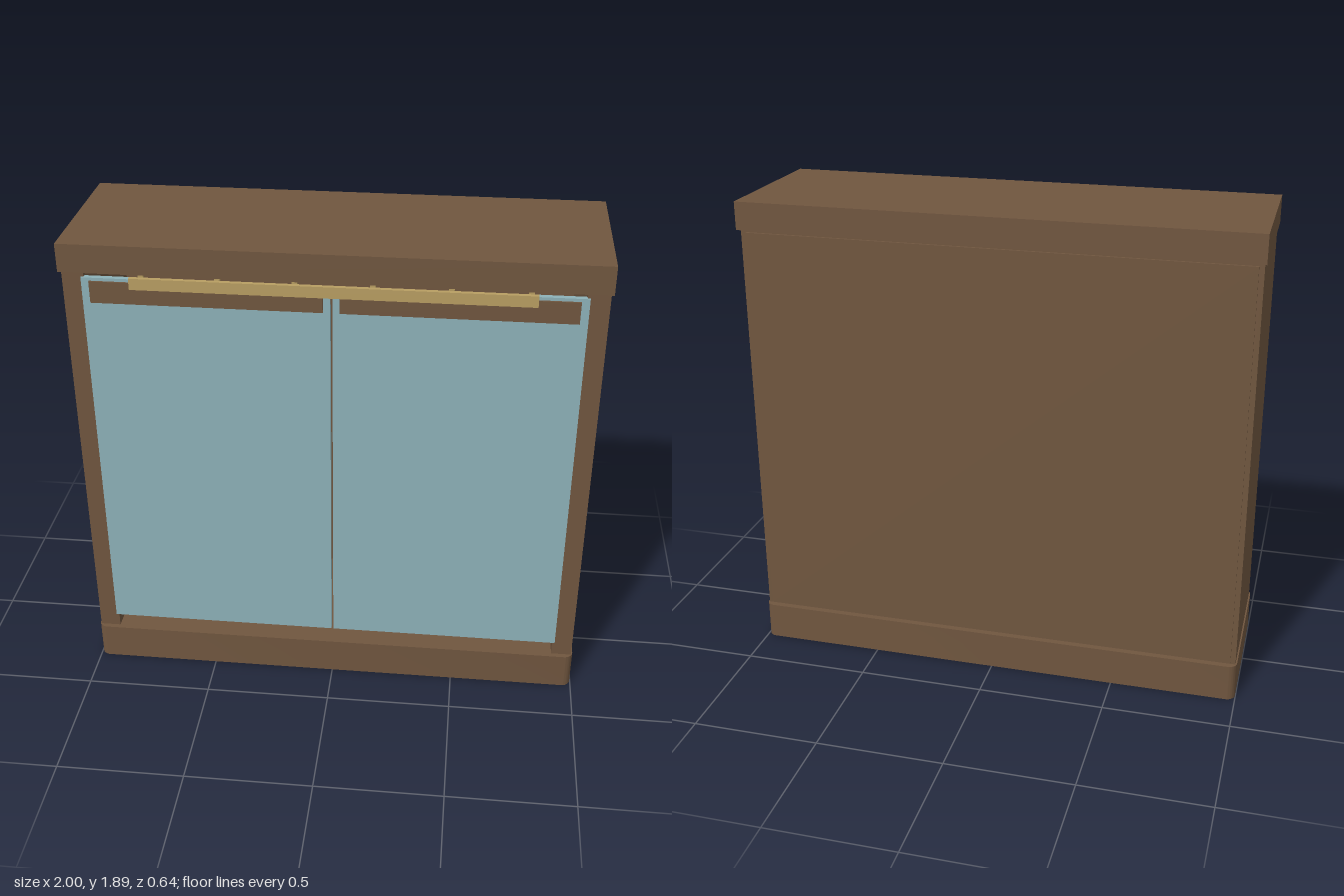
import * as THREE from 'three';
import { toCreasedNormals } from 'three/addons/utils/BufferGeometryUtils.js';

const wood = new THREE.MeshStandardMaterial({ color: 0x70563f });
wood.name = 'brown wood';
const paint = new THREE.MeshStandardMaterial({ color: 0x8db1b8 });
paint.name = 'pale blue door paint';
const brass = new THREE.MeshStandardMaterial({ color: 0xb89e62 });
brass.name = 'brass';

export function createModel() {
  const cabinet = new THREE.Group();
  cabinet.name = 'cabinet';

  // Box given by its limits on each axis
  function box(name, material, [x0, x1], [y0, y1], [z0, z1]) {
    const mesh = new THREE.Mesh(new THREE.BoxGeometry(x1 - x0, y1 - y0, z1 - z0), material);
    mesh.position.set((x0 + x1) / 2, (y0 + y1) / 2, (z0 + z1) / 2);
    mesh.name = name;
    cabinet.add(mesh);
    return mesh;
  }

  // Plinth with softened vertical corners
  const w = 0.998, d = 0.32, r = 0.035;
  const outline = new THREE.Shape();
  outline.absarc(w - r, d - r, r, 0, Math.PI / 2);
  outline.absarc(-w + r, d - r, r, Math.PI / 2, Math.PI);
  outline.absarc(-w + r, -d + r, r, Math.PI, Math.PI * 1.5);
  outline.absarc(w - r, -d + r, r, Math.PI * 1.5, Math.PI * 2);
  outline.closePath();
  const plinthShape = new THREE.ExtrudeGeometry(outline, { depth: 0.15, bevelEnabled: false, curveSegments: 8 });
  plinthShape.rotateX(-Math.PI / 2);
  const plinth = new THREE.Mesh(toCreasedNormals(plinthShape, 0.6), wood);
  plinth.name = 'plinth';
  cabinet.add(plinth);

  // Carcass
  box('topSlab', wood, [-1, 1], [1.78, 1.89], [-0.32, 0.32]);
  box('innerBack', wood, [-0.91, 0.91], [0.15, 1.78], [-0.295, -0.27]);
  box('backPanel', wood, [-0.972, 0.972], [0.16, 1.768], [-0.305, -0.295]);

  for (const side of [-1, 1]) {
    const span = (a, b) => (side > 0 ? [a, b] : [-b, -a]);
    const label = side > 0 ? 'left' : 'right';
    box(label + 'SidePanel', wood, span(0.91, 0.992), [0.15, 1.78], [-0.295, 0.3]);
    box(label + 'Door', paint, span(0.004, 0.92), [0.21, 1.757], [0.285, 0.306]);
    box(label + 'HandlePlate', wood, span(0.03, 0.89), [1.66, 1.745], [0.306, 0.313]);
  }

  // Long brass pull across both doors
  box('brassPull', brass, [-0.74, 0.74], [1.72, 1.764], [0.3, 0.317]);

  // Brass uprights behind the doors
  for (let i = 0; i < 6; i++) {
    const x = (i - 2.5) * 0.287;
    box('brassUpright', brass, [x - 0.01, x + 0.01], [0.15, 1.76], [0.21, 0.23]);
  }

  return cabinet;
}
